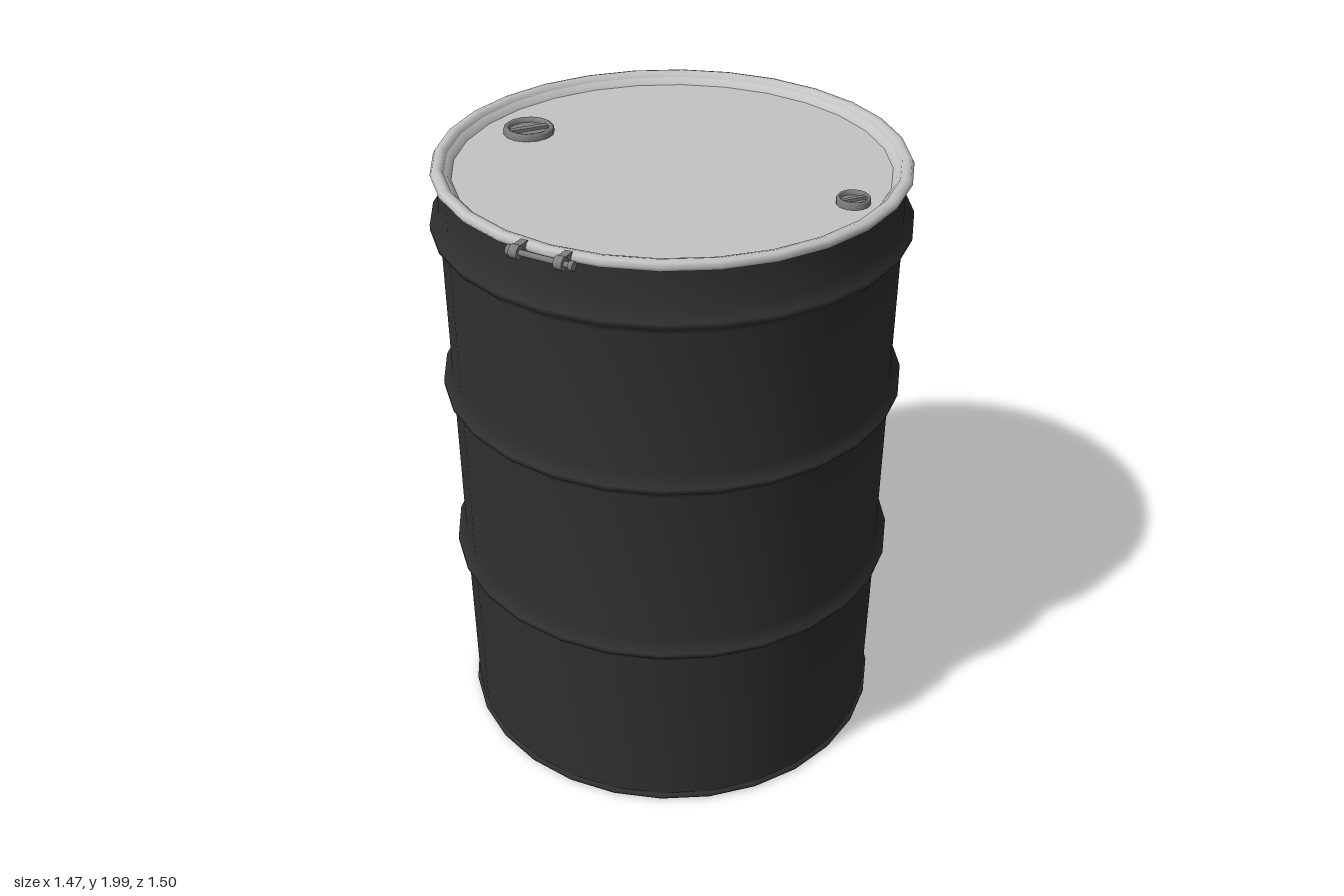
import * as THREE from 'three';

const SIDES = 28;

export function createModel() {
  const drum = new THREE.Group();
  drum.name = 'drum';

  const black = new THREE.MeshStandardMaterial({ color: 0x303030 });
  black.name = 'blackPaint';
  const steel = new THREE.MeshStandardMaterial({ color: 0xc4c4c4 });
  steel.name = 'lidSteel';
  const dark = new THREE.MeshStandardMaterial({ color: 0x808080 });
  dark.name = 'fittingSteel';

  const add = (parent, name, geometry, material, x = 0, y = 0, z = 0) => {
    const mesh = new THREE.Mesh(geometry, material);
    mesh.name = name;
    mesh.position.set(x, y, z);
    parent.add(mesh);
    return mesh;
  };
  const lathe = (points, sides = SIDES) =>
    new THREE.LatheGeometry(points.map(([r, y]) => new THREE.Vector2(r, y)), sides);

  // Barrel, set slightly back so that the clamp bolt stays within the depth
  const barrel = new THREE.Group();
  barrel.name = 'barrel';
  barrel.position.z = -0.018;
  drum.add(barrel);

  // Side wall with three rolled hoops
  const wall = [[0.703, 0.025]];
  for (const y of [0.65, 1.27, 1.81]) {
    wall.push([0.706, y - 0.04], [0.735, y - 0.008], [0.735, y + 0.008], [0.706, y + 0.04]);
  }
  wall.push([0.703, 1.97]);
  add(barrel, 'sideWall', lathe(wall), black);

  // Bottom chime and recessed base
  add(barrel, 'bottomChime', lathe([
    [0.685, 0.035], [0.687, 0.008], [0.7, 0.004], [0.712, 0.01], [0.712, 0.02], [0.7, 0.028],
  ]), black);
  add(barrel, 'base', lathe([[0, 0.035], [0.69, 0.035]]), black);

  // Lid panel, with a raised lip running up to the clamp ring
  add(barrel, 'lid', lathe([[0.665, 1.958], [0, 1.958]]), steel);
  add(barrel, 'lidLip', lathe([[0.69, 1.982], [0.672, 1.975], [0.66, 1.957]]), steel);

  // Clamp ring around the rim
  add(barrel, 'clampRing', lathe([
    [0.7, 1.962], [0.715, 1.966], [0.722, 1.978], [0.715, 1.991],
    [0.7, 1.995], [0.685, 1.99], [0.678, 1.974],
  ]), steel);

  // Bungs: a collar, a sunken cap and a cross grip
  for (const [name, x, r] of [['largeBung', -0.513, 0.08], ['smallBung', 0.585, 0.05]]) {
    const bung = new THREE.Group();
    bung.name = name;
    bung.position.set(x, 1.958, -0.004);
    barrel.add(bung);
    add(bung, 'collar', lathe([
      [r, 0], [r, 0.016], [r * 0.92, 0.022], [r * 0.8, 0.02], [r * 0.78, 0.006],
    ], 14), dark);
    add(bung, 'cap', lathe([[r * 0.8, 0.008], [0, 0.008]], 14), dark);
    add(bung, 'grip', new THREE.BoxGeometry(r * 1.5, 0.01, r * 0.25), dark, 0, 0.012, 0)
      .rotation.y = 0.9;
  }

  // Clamp bolt with its two lugs, head and nut
  const clamp = new THREE.Group();
  clamp.name = 'clampBolt';
  clamp.position.set(0, 1.979, 0.728);
  drum.add(clamp);
  const rod = (name, r, length, x, sides) =>
    add(clamp, name, new THREE.CylinderGeometry(r, r, length, sides), dark, x).rotation.z = Math.PI / 2;
  rod('shaft', 0.009, 0.2, 0.012, 8);
  rod('boltHead', 0.016, 0.016, -0.088, 6);
  rod('nut', 0.014, 0.014, 0.105, 6);
  for (const side of [-1, 1]) {
    add(clamp, 'lug', new THREE.BoxGeometry(0.022, 0.034, 0.05), dark, side * 0.07, 0, -0.019);
    rod('lugEye', 0.02, 0.026, side * 0.07, 10);
  }

  return drum;
}
